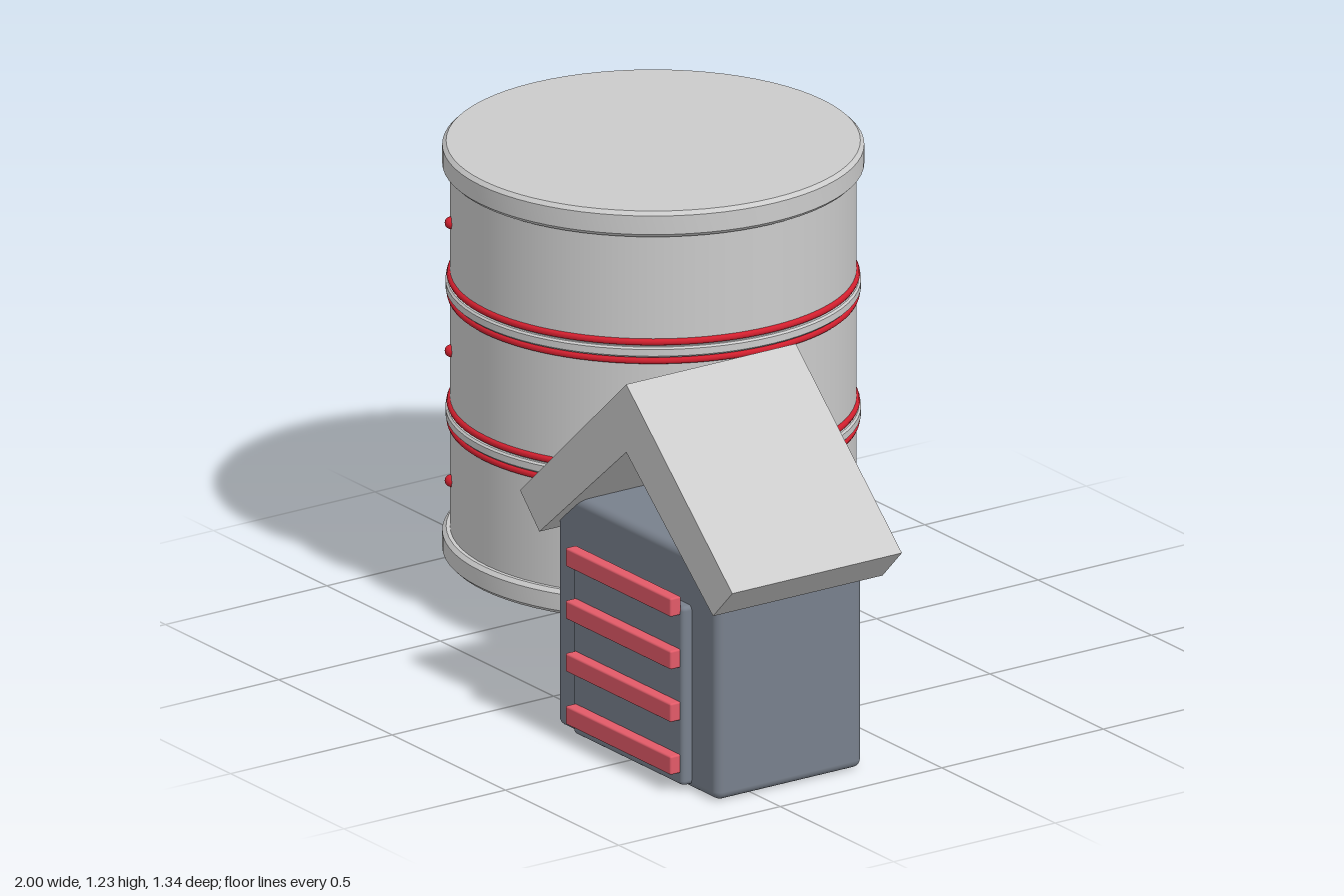
import * as THREE from 'three';
import { RoundedBoxGeometry } from 'three/addons/geometries/RoundedBoxGeometry.js';
import { toCreasedNormals } from 'three/addons/utils/BufferGeometryUtils.js';

const material = (color) => new THREE.MeshStandardMaterial({ color });
const grey = material(0xcccccc);
const slate = material(0x78808c);
const red = material(0xd4202f);
const paleRed = material(0xe25a68);

function add(parent, name, geometry, mat, x = 0, y = 0, z = 0) {
  const mesh = new THREE.Mesh(geometry, mat);
  mesh.name = name;
  mesh.position.set(x, y, z);
  parent.add(mesh);
  return mesh;
}

// Solid disc with a small chamfer on both rims, centred on its own height
function disc(radius, height, bevel) {
  const h = height / 2;
  const profile = [
    [0, -h], [radius - bevel, -h], [radius, -h + bevel],
    [radius, h - bevel], [radius - bevel, h], [0, h],
  ].map(([r, y]) => new THREE.Vector2(r, y));
  return toCreasedNormals(new THREE.LatheGeometry(profile, 72), 0.5);
}

function createTank() {
  const tank = new THREE.Group();
  tank.name = 'tank';
  tank.position.set(-0.465, 0, -0.135);
  const radius = 0.515;

  add(tank, 'tankWall', new THREE.CylinderGeometry(radius, radius, 1.04, 72), grey, 0, 0.68, 0);
  add(tank, 'tankLid', disc(0.535, 0.07, 0.01), grey, 0, 1.195, 0);
  add(tank, 'tankBase', disc(0.535, 0.065, 0.01), grey, 0, 0.158, 0);

  // Grey hoops, each edged by two thin red rings
  for (const y of [0.505, 0.848]) {
    add(tank, 'hoop', disc(0.527, 0.028, 0.005), grey, 0, y, 0);
    for (const side of [-1, 1]) {
      const ring = add(tank, 'redRing', new THREE.TorusGeometry(radius, 0.009, 8, 96), red, 0, y + side * 0.025, 0);
      ring.rotation.x = Math.PI / 2;
    }
  }

  // Column of red studs on the front of the wall
  const x = -0.255;
  const z = Math.sqrt(radius * radius - x * x);
  for (const y of [0.33, 0.68, 1.025]) {
    add(tank, 'stud', new THREE.SphereGeometry(0.016, 16, 12), red, x, y, z);
  }
  return tank;
}

function createShed() {
  const shed = new THREE.Group();
  shed.name = 'shed';
  shed.position.x = 0.527;

  add(shed, 'shedBody', new RoundedBoxGeometry(0.71, 0.636, 0.452, 3, 0.022), slate, 0, 0.32, 0.386);
  add(shed, 'doorPanel', new RoundedBoxGeometry(0.485, 0.482, 0.05, 2, 0.012), slate, 0, 0.257, 0.616);

  // Horizontal door slats
  for (let i = 0; i < 4; i++) {
    add(shed, 'doorSlat', new RoundedBoxGeometry(0.465, 0.05, 0.034, 2, 0.005), paleRed, 0, 0.075 + i * 0.142, 0.654);
  }

  // Open gabled roof: a thick chevron run from front to back
  const outline = [
    [0, 1.03], [-0.468, 0.605], [-0.383, 0.519],
    [0, 0.847], [0.383, 0.519], [0.468, 0.605],
  ].map(([x, y]) => new THREE.Vector2(x, y));
  const roof = new THREE.ExtrudeGeometry(new THREE.Shape(outline), { depth: 0.525, bevelEnabled: false });
  add(shed, 'roof', roof, grey, 0, 0, 0.12);
  return shed;
}

export function createModel() {
  const model = new THREE.Group();
  model.name = 'tankAndShed';
  model.add(createTank(), createShed());
  return model;
}
